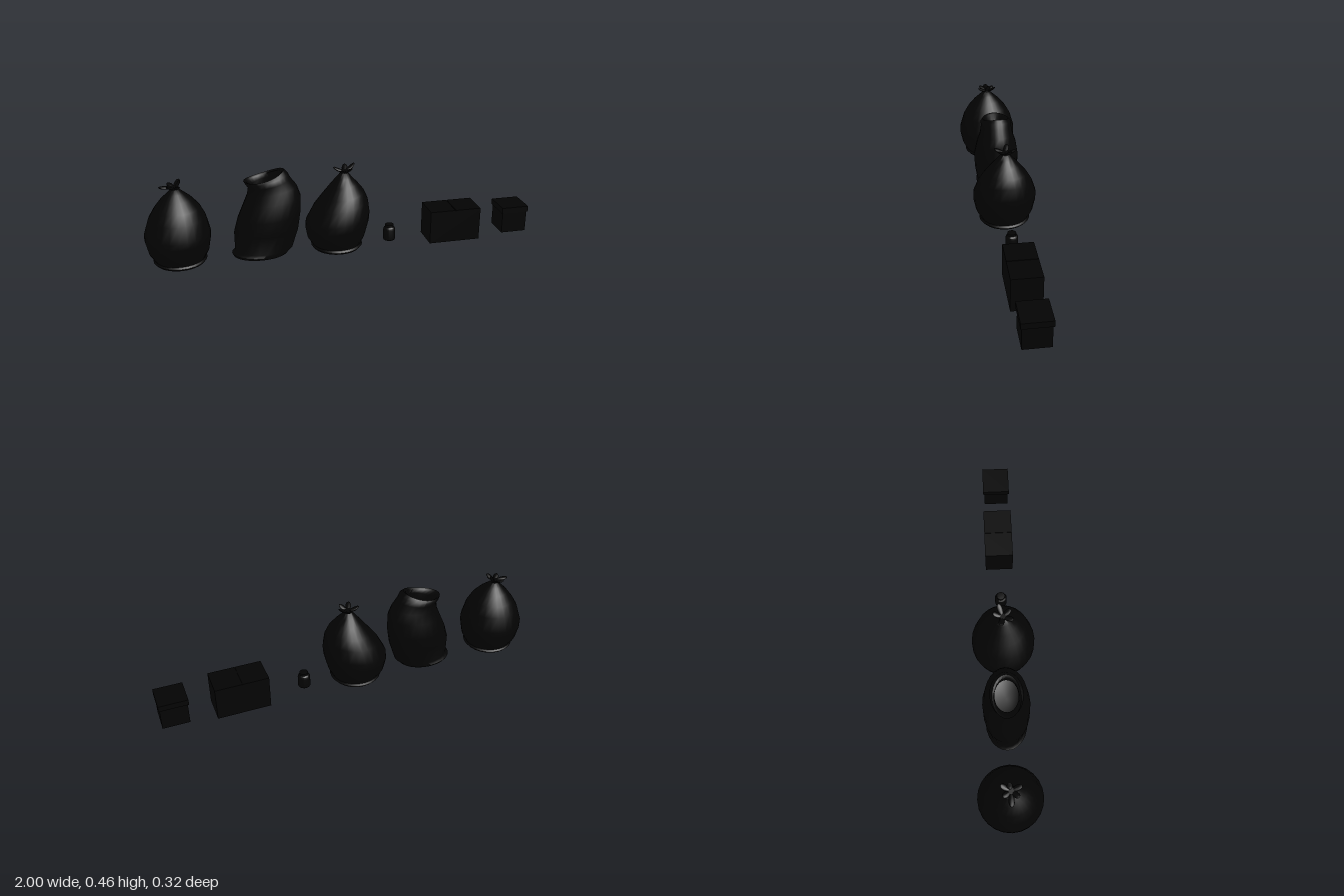
import * as THREE from 'three';
import { toCreasedNormals } from 'three/addons/utils/BufferGeometryUtils.js';

const material = new THREE.MeshStandardMaterial({ color: 0x030303, side: THREE.DoubleSide });

function add(parent, name, geometry, x = 0, y = 0, z = 0) {
  const mesh = new THREE.Mesh(geometry, material);
  mesh.name = name;
  mesh.position.set(x, y, z);
  parent.add(mesh);
  return mesh;
}

// Skin over elliptical rings: [y, centre x, radius x, radius z, tilt, sag at the sides]
function loft(rings, sides = 24) {
  const points = [], index = [];
  rings.forEach(([y, cx, rx, rz = rx, tilt = 0, sag = 0], j) => {
    for (let i = 0; i < sides; i++) {
      const a = (i / sides) * Math.PI * 2;
      const dx = rx * Math.cos(a), s = Math.sin(a);
      points.push(cx + dx, y + tilt * dx - sag * s * s, rz * s);
      if (j === rings.length - 1) continue;
      const p = j * sides + i, q = j * sides + (i + 1) % sides;
      index.push(p, p + sides, q, q, p + sides, q + sides);
    }
  });
  const geometry = new THREE.BufferGeometry();
  geometry.setAttribute('position', new THREE.Float32BufferAttribute(points, 3));
  geometry.setIndex(index);
  return toCreasedNormals(geometry, 0.95);
}

// Gathered plastic above the tie: [direction, length, rise]
function addKnot(parent, x, y, petals) {
  const knot = new THREE.Group();
  knot.name = 'knot';
  knot.position.set(x, y, 0);
  parent.add(knot);
  add(knot, 'tie', new THREE.CylinderGeometry(0.016, 0.022, 0.03, 12));
  for (const [angle, length, rise] of petals) {
    const geometry = new THREE.SphereGeometry(1, 12, 8);
    const p = geometry.attributes.position;
    for (let i = 0; i < p.count; i++) {
      // Narrow at the tie, wider and curled up toward the tip
      const t = (p.getX(i) + 1) / 2;
      p.setXYZ(i, t * length, p.getY(i) * 0.008 + rise * t * t, p.getZ(i) * (0.01 + 0.008 * t));
    }
    geometry.computeVertexNormals();
    add(knot, 'knotPetal', geometry, 0, 0.008, 0).rotation.y = angle;
  }
}

export function createModel() {
  const model = new THREE.Group();
  model.name = 'rubbishSet';
  const group = (name) => {
    const g = new THREE.Group();
    g.name = name;
    model.add(g);
    return g;
  };

  // Upright tied bag
  const upright = group('uprightBag');
  add(upright, 'bagBody', loft([
    [0.015, -0.837, 0], [0.012, -0.837, 0.122], [0.025, -0.837, 0.133], [0.033, -0.838, 0.125],
    [0.075, -0.839, 0.149], [0.14, -0.84, 0.162], [0.17, -0.84, 0.162], [0.25, -0.836, 0.139],
    [0.3, -0.833, 0.112], [0.345, -0.834, 0.075], [0.375, -0.835, 0.042], [0.395, -0.836, 0.02], [0.4, -0.836, 0],
  ]));
  addKnot(upright, -0.838, 0.395, [
    [Math.PI, 0.075, 0.005], [0.3, 0.032, 0.036], [1.1, 0.055, 0.025], [-1.2, 0.055, 0.018], [2.2, 0.05, 0.012], [-2.3, 0.05, 0.015],
  ]);

  // Open sack with a slanted, flared mouth
  const sack = group('openSack');
  add(sack, 'sackBody', loft([
    [0.015, -0.436, 0], [0.012, -0.436, 0.138, 0.098], [0.026, -0.433, 0.147, 0.108], [0.04, -0.417, 0.147, 0.102],
    [0.14, -0.401, 0.163, 0.118], [0.22, -0.384, 0.159, 0.12, 0.05], [0.3, -0.367, 0.144, 0.106, 0.1],
    [0.35, -0.366, 0.125, 0.089, 0.14], [0.39, -0.378, 0.106, 0.082, 0.18], [0.412, -0.39, 0.106, 0.082, 0.22],
    [0.431, -0.404, 0.101, 0.07, 0.24, 0.012], [0.424, -0.404, 0.088, 0.06, 0.24, 0.012],
    [0.395, -0.392, 0.075, 0.058, 0.2], [0.35, -0.385, 0.085, 0.062, 0.15], [0.33, -0.385, 0],
  ]));

  // Leaning tied bag
  const leaning = group('leaningBag');
  add(leaning, 'bagBody', loft([
    [0.015, -0.037, 0], [0.012, -0.037, 0.122], [0.025, -0.037, 0.133], [0.035, -0.038, 0.126],
    [0.075, -0.039, 0.149, 0.149, 0.04], [0.14, -0.035, 0.164, 0.162, 0.1], [0.18, -0.031, 0.164, 0.162, 0.14],
    [0.25, -0.016, 0.14, 0.139, 0.14], [0.3, -0.004, 0.109, 0.112, 0.12], [0.35, 0.001, 0.07, 0.073, 0.08],
    [0.385, 0.003, 0.04, 0.042], [0.41, 0.004, 0.02], [0.415, 0.004, 0],
  ]));
  addKnot(leaning, 0.004, 0.41, [
    [Math.PI - 0.25, 0.056, 0.02], [0.35, 0.06, 0.033], [1.3, 0.052, 0.02], [-0.9, 0.05, 0.022], [-2.0, 0.058, 0.015],
  ]);

  // Small bottle
  const profile = [[0, 0.015], [0.029, 0.015], [0.032, 0.019], [0.032, 0.072], [0.029, 0.082], [0.022, 0.088], [0.022, 0.1], [0, 0.102]];
  const bottle = new THREE.LatheGeometry(profile.map(([r, y]) => new THREE.Vector2(r, y)), 20);
  add(group('bottle'), 'bottleBody', toCreasedNormals(bottle, 0.6), 0.248, 0, 0);

  // Large carton with two closed flaps
  const carton = group('carton');
  add(carton, 'cartonBody', new THREE.BoxGeometry(0.274, 0.172, 0.15), 0.588, 0.086, 0);
  for (const side of [-1, 1])
    add(carton, 'cartonFlap', new THREE.BoxGeometry(0.135, 0.004, 0.15), 0.588 + side * 0.0695, 0.174, 0);

  // Small box with an overhanging lid
  const box = group('lidBox');
  add(box, 'boxBody', new THREE.BoxGeometry(0.136, 0.115, 0.132), 0.927, 0.0745, 0);
  add(box, 'boxLid', new THREE.BoxGeometry(0.147, 0.03, 0.144), 0.9265, 0.145, 0);

  return model;
}
